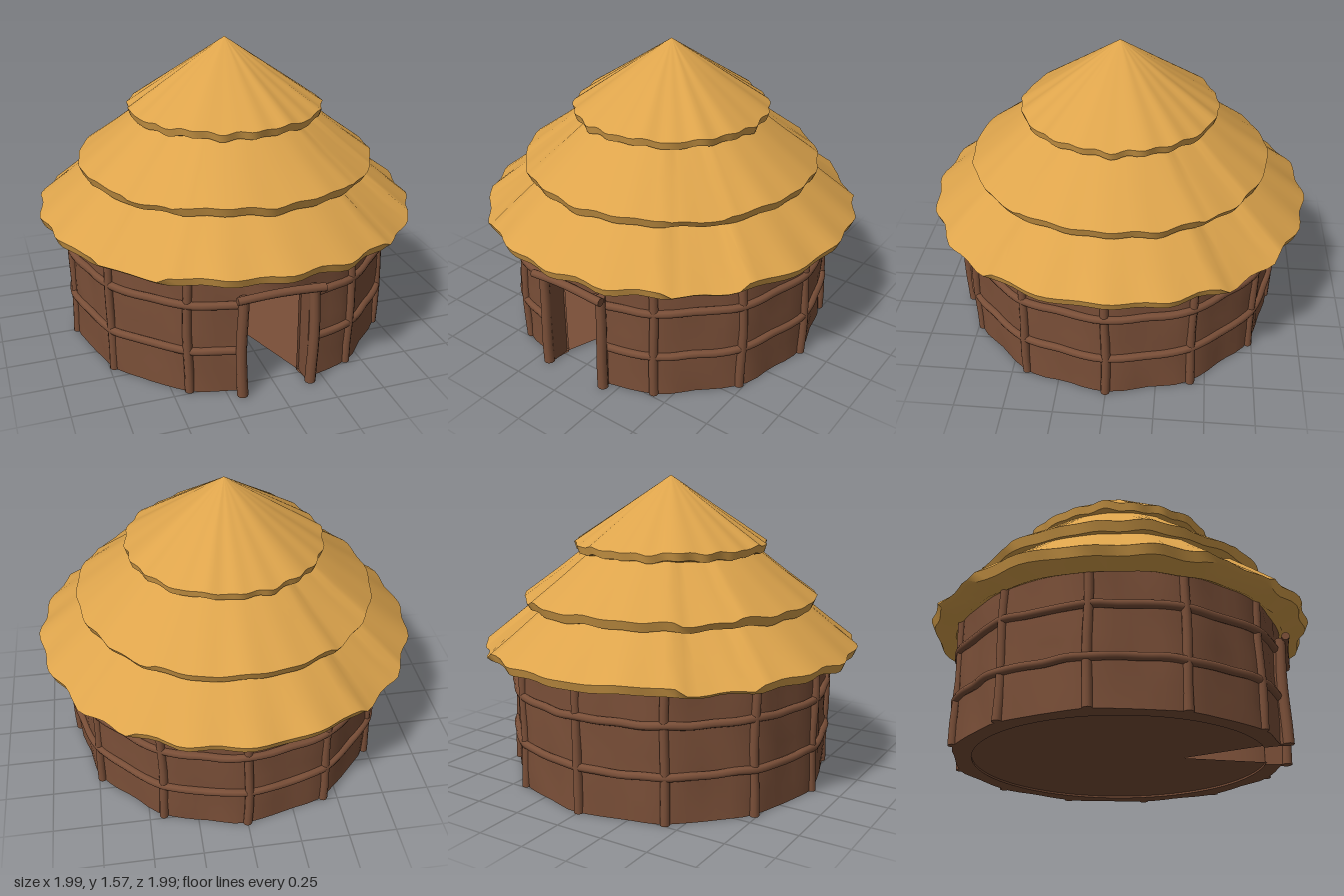
import * as THREE from 'three';
import { mergeVertices, toCreasedNormals } from 'three/addons/utils/BufferGeometryUtils.js';

const TAU = Math.PI * 2;
const DOOR = 0.2; // half angle of the doorway

export function createModel() {
  const hut = new THREE.Group();
  hut.name = 'hut';
  const thatch = new THREE.MeshStandardMaterial({ color: 0xdda44c });
  const mud = new THREE.MeshStandardMaterial({ color: 0x7a4f38, side: THREE.DoubleSide });
  thatch.name = 'straw thatch';
  mud.name = 'brown mud and wood';

  const add = (name, geometry, material) => {
    const mesh = new THREE.Mesh(geometry, material);
    mesh.name = name;
    hut.add(mesh);
    return mesh;
  };

  // Smooth irregularity around the hut
  const noise = (a, s) => (Math.sin(a * 7 + s * 2.1) + Math.sin(a * 13 + s * 4.7) + Math.sin(a * 23 + s)) / 3;

  // Rebuild normals after moving vertices by a rule (angle, radius, y, ring) -> [radius, y]
  function warp(geometry, rings, rule, crease) {
    const p = geometry.attributes.position;
    for (let i = 0; i < p.count; i++) {
      const x = p.getX(i), z = p.getZ(i), a = Math.atan2(x, z), r = Math.hypot(x, z);
      const [nr, ny] = rule(a, r, p.getY(i), i % rings);
      p.setXYZ(i, Math.sin(a) * nr, ny, Math.cos(a) * nr);
    }
    geometry.deleteAttribute('normal');
    geometry.deleteAttribute('uv');
    return toCreasedNormals(mergeVertices(geometry, 1e-4), crease);
  }

  const lathe = (pts, seg, start = 0, length = TAU) =>
    new THREE.LatheGeometry(pts.map(([x, y]) => new THREE.Vector2(x, y)), seg, start, length);

  // Thatch tiers: underside, rim, then slope up to the top
  const tiers = [
    { name: 'lowerThatch', wave: 0.012, lift: 0.014, seed: 1,
      pts: [[0, 1.1], [0.86, 0.635], [0.965, 0.66], [0.984, 0.69], [0.86, 0.79], [0.66, 0.95], [0.4, 1.15], [0, 1.4]] },
    { name: 'middleThatch', wave: 0.004, lift: 0.007, seed: 2,
      pts: [[0.5, 0.98], [0.68, 0.895], [0.755, 0.905], [0.775, 0.945], [0.6, 1.075], [0.44, 1.2], [0.3, 1.3]] },
    { name: 'topThatch', wave: 0.006, lift: 0, seed: 3,
      pts: [[0.3, 1.2], [0.45, 1.175], [0.495, 1.185], [0.508, 1.225], [0.25, 1.4], [0, 1.57]] },
  ];
  for (const t of tiers) {
    const rimWeight = [0, 0.3, 1, 1, 0.4, 0.1];
    const geometry = warp(lathe(t.pts, 120), t.pts.length, (a, r, y, j) => {
      if (r < 1e-4) return [0, y];
      const w = rimWeight[j] ?? 0;
      // Four broad raised panels on the sides, lower strips on the corners
      const fromAxis = Math.abs(a - Math.round(a / (Math.PI / 2)) * Math.PI / 2);
      const step = j > 2 ? (fromAxis < 0.6 ? t.lift : -t.lift) : 0;
      const scallop = t.wave * Math.cos(20 * a) * w;
      return [r + scallop + 0.004 * w * noise(a, t.seed), y + step + 0.012 * w * noise(a, t.seed + 3)];
    }, 0.75);
    add(t.name, geometry, thatch);
  }

  // Wall surface bulges slightly at each of the twelve posts
  const wallRadius = (a, y) => 0.832 + 0.01 * Math.cos(12 * a) + 0.006 * noise(a, y * 9);

  // Thick wall with a doorway at the front
  const wallRing = (name, y0, y1, start, length, seg) => {
    const pts = [[0.74, y0], [0.84, y0]];
    for (let i = 1; i <= 6; i++) pts.push([0.84, y0 + (y1 - y0) * i / 6]);
    pts.push([0.74, y1], [0.74, y0]);
    add(name, warp(lathe(pts, seg, start, length), pts.length,
      (a, r, y) => [r > 0.8 ? wallRadius(a, y) : r, y], 0.8), mud);
  };
  wallRing('wall', 0, 0.66, DOOR, TAU - 2 * DOOR, 72);
  wallRing('wallOverDoor', 0.53, 0.66, -DOOR, 2 * DOOR, 6);

  // Floor with a wedge cut out at the doorway
  const floor = new THREE.Shape();
  floor.moveTo(0, -0.32);
  for (let i = 0; i <= 48; i++) {
    const a = DOOR + (TAU - 2 * DOOR) * i / 48;
    floor.lineTo(Math.sin(a) * 0.75, -Math.cos(a) * 0.75);
  }
  const floorGeometry = new THREE.ShapeGeometry(floor);
  floorGeometry.rotateX(-Math.PI / 2);
  floorGeometry.translate(0, 0.01, 0);
  add('floor', floorGeometry, mud);

  // Slightly crooked pole
  const pole = (name, radius, length, seed) => {
    const g = new THREE.CylinderGeometry(radius * 0.92, radius, length, 10, 6);
    const p = g.attributes.position;
    for (let i = 0; i < p.count; i++) {
      const y = p.getY(i);
      p.setX(i, p.getX(i) + 0.005 * Math.sin(y * 9 + seed));
      p.setZ(i, p.getZ(i) + 0.004 * Math.sin(y * 11 + seed * 2));
    }
    return add(name, g, mud);
  };

  // Upright posts every 30 degrees, leaving out the doorway
  for (let i = 1; i < 12; i++) {
    const a = i * TAU / 12;
    pole('post', 0.024, 0.66, i).position.set(Math.sin(a) * 0.842, 0.33, Math.cos(a) * 0.842);
  }

  // Door frame
  for (const s of [-1, 1]) {
    pole('doorPost', 0.028, 0.54, s).position.set(s * 0.182, 0.27, 0.835);
    const jamb = add('doorJamb', new THREE.BoxGeometry(0.03, 0.53, 0.1), mud);
    jamb.position.set(s * 0.175, 0.265, 0.775);
  }
  const lintel = pole('lintel', 0.022, 0.44, 2);
  lintel.rotation.z = Math.PI / 2;
  lintel.position.set(0, 0.545, 0.866);

  // Two horizontal rails, sagging between the posts
  for (const y of [0.235, 0.485]) {
    const path = [];
    for (let i = 0; i <= 44; i++) {
      const a = 0.22 + (TAU - 0.44) * i / 44;
      const r = 0.838 + 0.008 * Math.cos(12 * a);
      path.push(new THREE.Vector3(Math.sin(a) * r, y + 0.007 * noise(a, y * 10), Math.cos(a) * r));
    }
    add('rail', new THREE.TubeGeometry(new THREE.CatmullRomCurve3(path), 132, 0.021, 8), mud);
  }

  return hut;
}
